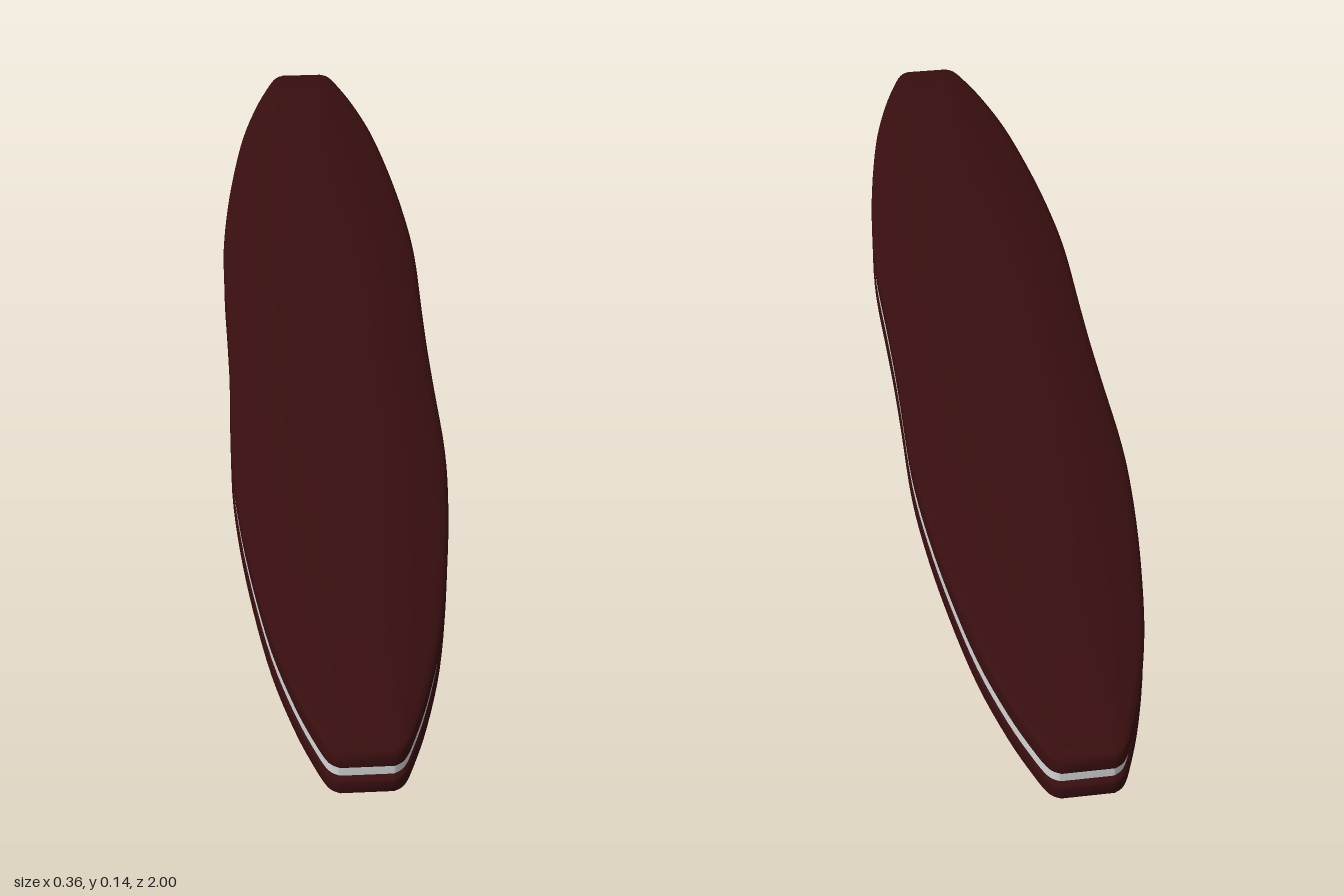
import * as THREE from 'three';

const HEIGHT = 0.135;

// Half of the plan outline on the +x side: [half width, z]
const quarter = [
  [0.04, 1], [0.056, 0.988], [0.073, 0.95], [0.1, 0.87], [0.13, 0.75],
  [0.154, 0.6], [0.171, 0.45], [0.18, 0.3], [0.178, 0.12],
];

function makeOutline() {
  const side = [
    ...quarter.map(([x, z]) => new THREE.Vector2(x, -z)),
    new THREE.Vector2(0.177, 0),
    ...quarter.map(([x, z]) => new THREE.Vector2(x, z)).reverse(),
  ];
  const points = new THREE.SplineCurve(side).getPoints(72);
  return [...points, ...points.map((p) => new THREE.Vector2(-p.x, -p.y))];
}

// Stack scaled copies of the outline; profile rows are [scale, y], bottom to top
function loft(outline, profile) {
  const n = outline.length;
  const positions = [];
  const indices = [];
  for (const [s, y] of profile) {
    for (const p of outline) positions.push(p.x * s, y, p.y * s);
  }
  for (let j = 0; j < profile.length - 1; j++) {
    if (profile[j][0] === profile[j + 1][0] && profile[j][1] === profile[j + 1][1]) continue;
    for (let i = 0; i < n; i++) {
      const k = (i + 1) % n;
      const a = j * n + i, b = j * n + k, c = a + n, d = b + n;
      if (profile[j][0] > 0) indices.push(a, c, b);
      if (profile[j + 1][0] > 0) indices.push(b, c, d);
      else if (profile[j][0] === 0) indices.push(b, c, d);
    }
  }
  const geometry = new THREE.BufferGeometry();
  geometry.setAttribute('position', new THREE.Float32BufferAttribute(positions, 3));
  geometry.setIndex(indices);
  geometry.computeVertexNormals();
  return geometry;
}

export function createModel() {
  const group = new THREE.Group();
  group.name = 'foldedHandle';
  const darkRed = new THREE.MeshStandardMaterial({ color: 0x380e0f });
  darkRed.name = 'dark red';
  const lightGrey = new THREE.MeshStandardMaterial({ color: 0xd4d5d5 });
  lightGrey.name = 'light grey';

  const outline = makeOutline();
  const add = (name, profile, material) => {
    const mesh = new THREE.Mesh(loft(outline, profile), material);
    mesh.name = name;
    group.add(mesh);
  };

  // Domed scale with a flat inner face; repeated rows keep the edge sharp
  const upper = [
    [0, 0.078], [0.99, 0.078], [0.99, 0.078], [0.998, 0.081], [1, 0.085],
    [1, 0.104], [0.993, 0.109], [0.97, 0.1135], [0.92, 0.118], [0.83, 0.1235],
    [0.73, 0.128], [0.62, 0.1315], [0.5, 0.134], [0.38, HEIGHT], [0, HEIGHT],
  ];
  const lower = upper.map(([s, y]) => [s, HEIGHT - y]).reverse();
  add('upperScale', upper, darkRed);
  add('lowerScale', lower, darkRed);

  // Slightly recessed liner between the scales
  add('middleLiner', [
    [0, 0.0565], [0.99, 0.0565], [0.99, 0.0565],
    [0.99, 0.0785], [0.99, 0.0785], [0, 0.0785],
  ], lightGrey);

  return group;
}
